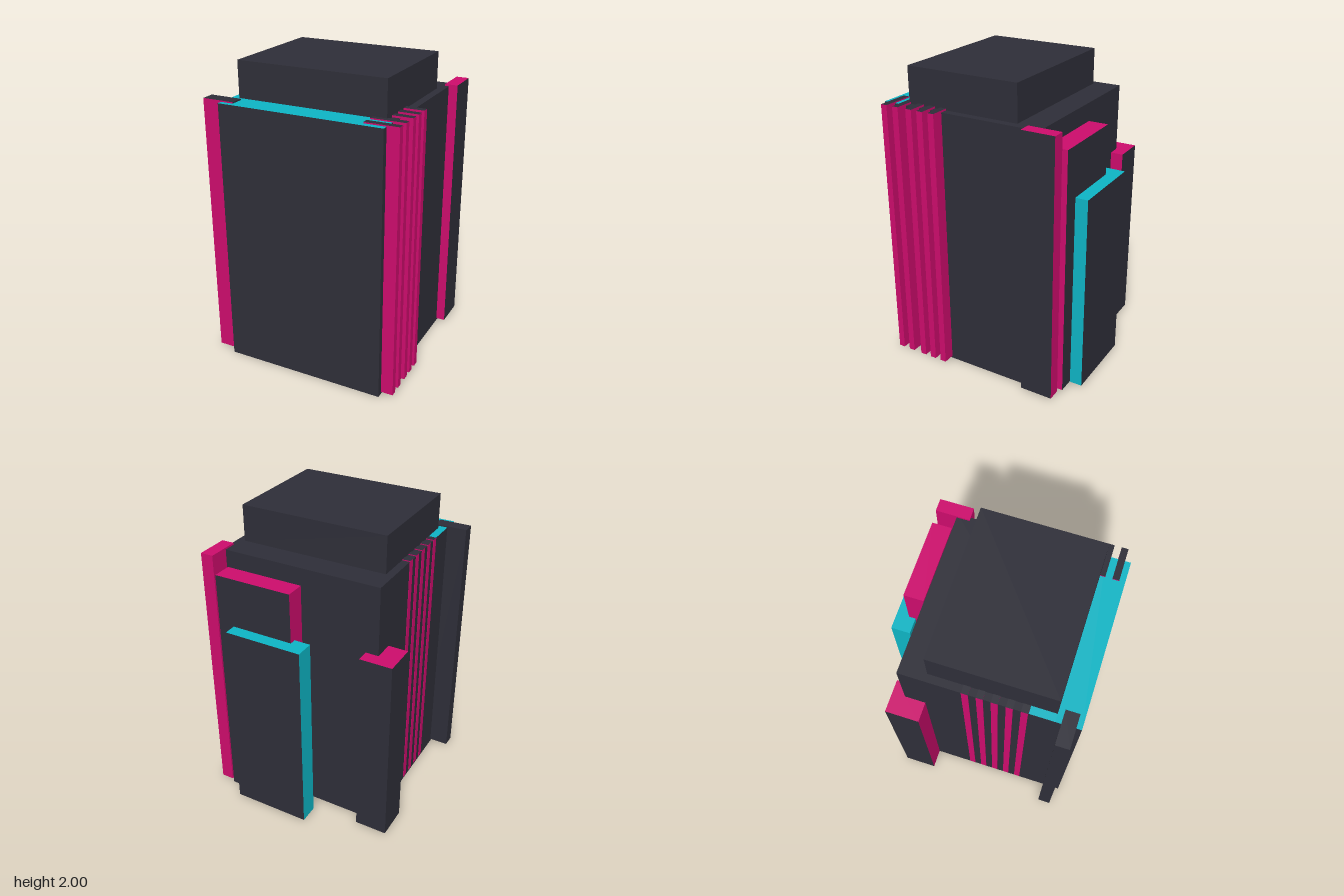
import * as THREE from 'three';

export function createModel() {
  const model = new THREE.Group();
  const mat = (name, color) => {
    const m = new THREE.MeshStandardMaterial({ color });
    m.name = name;
    return m;
  };
  const palette = {
    d: mat('charcoal', 0x2e2e38),
    p: mat('magenta', 0xcc0c6c),
    c: mat('cyan', 0x0eb4c4),
  };

  // Box from its limits; faces lists one colour letter for +x -x +y -y +z -z
  const block = (name, [x0, x1], [y0, y1], [z0, z1], faces = 'dddddd', parent = model) => {
    const geo = new THREE.BoxGeometry(x1 - x0, y1 - y0, z1 - z0);
    const mesh = new THREE.Mesh(geo, [...faces].map((f) => palette[f]));
    mesh.name = name;
    mesh.position.set((x0 + x1) / 2, (y0 + y1) / 2, (z0 + z1) / 2);
    parent.add(mesh);
    return mesh;
  };

  // Main tower and roof block
  block('tower', [-0.52, 0.57], [0, 1.76], [-0.43, 0.67]);
  block('roofBlock', [-0.47, 0.52], [1.76, 2], [-0.26, 0.515]);

  // Cyan roof ledge along the front and the right-hand edge
  block('frontLedge', [-0.52, 0.57], [1.76, 1.764], [0.515, 0.67], 'ddcddd');
  block('sideLedge', [-0.52, -0.47], [1.76, 1.764], [0.36, 0.515], 'ddcddd');

  // Projecting fins near the front of the left side
  const leftFins = new THREE.Group();
  leftFins.name = 'leftFins';
  model.add(leftFins);
  for (const z of [0.26, 0.343, 0.425, 0.526, 0.612]) {
    block('leftFin', [0.43, 0.65], [0.015, 1.772], [z - 0.021, z + 0.021], 'ppddpp', leftFins);
  }

  // Shallow strips on the right side
  const rightStrips = new THREE.Group();
  rightStrips.name = 'rightStrips';
  model.add(rightStrips);
  for (let i = 0; i < 5; i++) {
    const z = -0.02 + i * 0.089;
    block('rightStrip', [-0.523, -0.47], [0.015, 1.766], [z - 0.021, z + 0.021], 'ppddpp', rightStrips);
  }

  // Corner pillars
  block('frontRightPillar', [-0.65, -0.435], [0.015, 1.772], [0.55, 0.637], 'ddddpd');
  block('backRightPillar', [-0.65, -0.435], [0.01, 1.31], [-0.515, -0.295], 'pdpdpd');
  block('backLeftPillar', [0.545, 0.63], [0.015, 1.772], [-0.565, -0.345], 'dppdpp');

  // Layered panels behind the tower
  block('tallBackPanel', [-0.01, 0.517], [0.015, 1.66], [-0.587, -0.457], 'pppdpd');
  block('lowBackPanel', [-0.118, 0.408], [0.01, 1.33], [-0.67, -0.543], 'cccdcd');

  return model;
}
